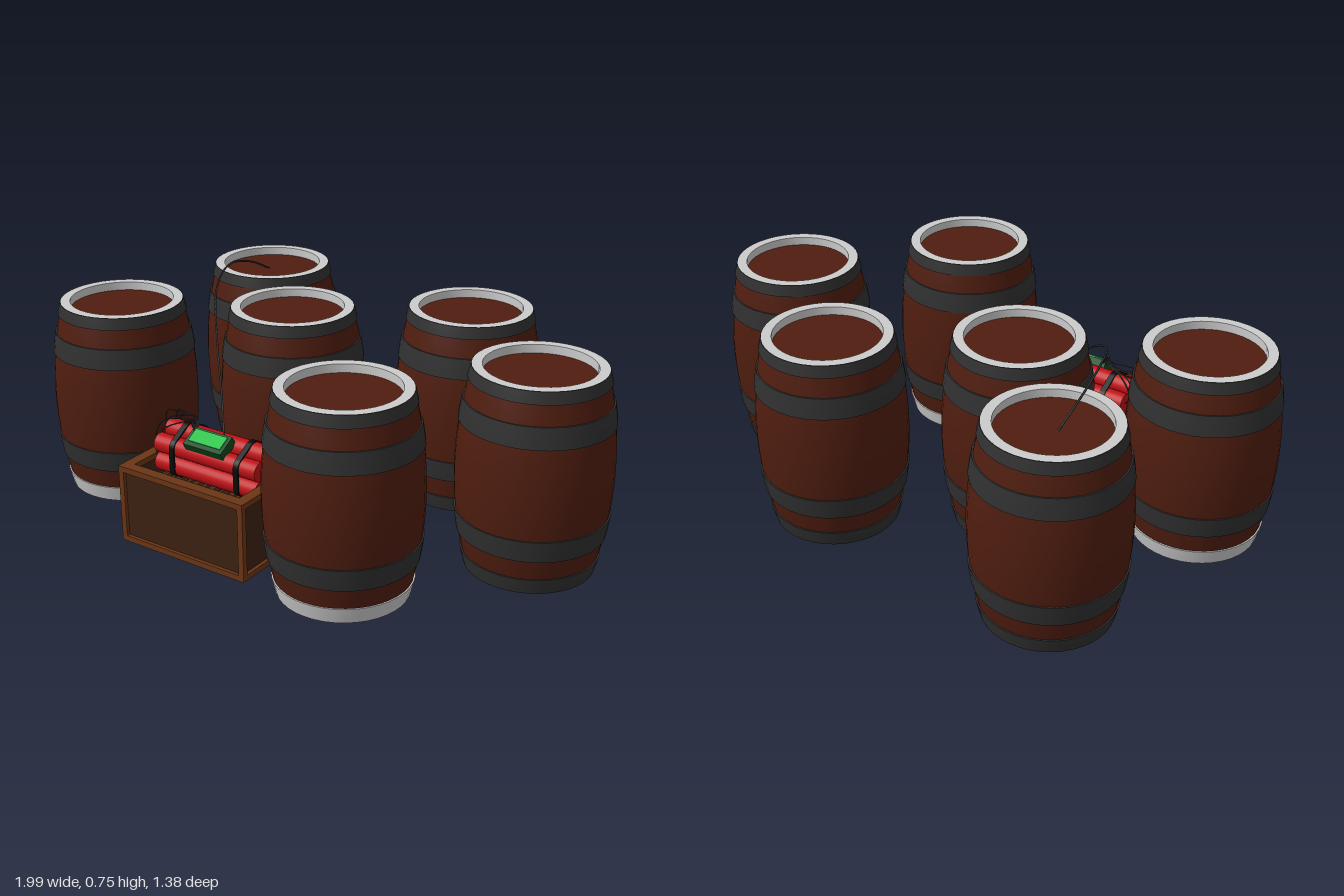
import * as THREE from 'three';
import { toCreasedNormals } from 'three/addons/utils/BufferGeometryUtils.js';

const mat = (color, extra = {}) => {
  const m = new THREE.MeshStandardMaterial({ color });
  return Object.assign(m, extra);
};
const M = {
  wood: mat(0x4f1d0f), iron: mat(0x303030), steel: mat(0xcccccc),
  frame: mat(0x6b3515), panel: mat(0x3d2212), straw: mat(0x55301a),
  red: mat(0xc01015), black: mat(0x0a0a0a), wire: mat(0x333333),
  green: mat(0x0c4a1c), screen: mat(0x10c040),
};

function add(parent, name, geometry, material, x = 0, y = 0, z = 0) {
  const mesh = new THREE.Mesh(geometry, material);
  mesh.name = name;
  mesh.position.set(x, y, z);
  parent.add(mesh);
  return mesh;
}
const box = (parent, name, w, h, d, m, x, y, z) =>
  add(parent, name, new THREE.BoxGeometry(w, h, d), m, x, y, z);

function lathe(points) {
  const g = new THREE.LatheGeometry(points.map(([r, y]) => new THREE.Vector2(r, y)), 40);
  return toCreasedNormals(g, 0.6);
}
function tube(parent, name, points, radius, segments = 24) {
  const curve = new THREE.CatmullRomCurve3(points.map(p => new THREE.Vector3(...p)));
  return add(parent, name, new THREE.TubeGeometry(curve, segments, radius, 6), M.wire);
}

// Barrel bulge: radius at a given height
const BOTTOM = 0.015, TOP = 0.694;
const bulge = y => 0.252 - 0.045 * ((y - 0.355) / 0.34) ** 2;
const side = (y0, y1, n, offset) =>
  Array.from({ length: n + 1 }, (_, i) => {
    const y = y0 + (y1 - y0) * i / n;
    return [bulge(y) + offset, y];
  });

function band(y0, y1) {
  const inner = -0.006;
  return lathe([[bulge(y0) + inner, y0], ...side(y0, y1, 4, 0.005), [bulge(y1) + inner, y1]]);
}

function barrelParts() {
  const inner = 0.178, lid = 0.028;
  const y0 = BOTTOM + lid, y1 = TOP - lid;
  return {
    staves: lathe([[0, y0], ...side(y0, y1, 16, 0), [0, y1]]),
    upperHoop: band(0.52, 0.59),
    lowerHoop: band(0.14, 0.214),
    topRim: band(0.655, TOP),
    bottomRim: band(BOTTOM, 0.07),
    // flat end ring and the lip running down to the recessed lid
    topRing: lathe([[bulge(TOP) + 0.003, TOP + 0.001], [inner, TOP + 0.001], [inner, y1 - 0.002]]),
    bottomRing: lathe([[inner, y0 + 0.002], [inner, BOTTOM - 0.001], [bulge(BOTTOM) + 0.003, BOTTOM - 0.001]]),
  };
}

function makeBarrel(parts, lightBase) {
  const g = new THREE.Group();
  g.name = 'barrel';
  add(g, 'staves', parts.staves, M.wood);
  for (const n of ['upperHoop', 'lowerHoop', 'topRim']) add(g, n, parts[n], M.iron);
  add(g, 'bottomRim', parts.bottomRim, lightBase ? M.steel : M.iron);
  add(g, 'topRing', parts.topRing, M.steel);
  add(g, 'bottomRing', parts.bottomRing, M.steel);
  return g;
}

function makeCrate() {
  const g = new THREE.Group();
  g.name = 'crate';
  const W = 0.51, H = 0.275, D = 0.38, t = 0.02, rim = 0.038;
  box(g, 'floor', W - 0.002, 0.016, D - 0.002, M.panel, 0, 0.009, 0);
  for (const s of [-1, 1]) {
    // inset wall panels
    box(g, 'longPanel', W - 2 * t, H - 0.02, 0.02, M.panel, 0, H / 2, s * (D / 2 - 0.022));
    box(g, 'endPanel', 0.02, H - 0.02, D - 2 * t, M.panel, s * (W / 2 - 0.022), H / 2, 0);
    // bottom and top rails
    for (const [y, w] of [[t / 2, t], [H - t / 2, rim]]) {
      box(g, 'longRail', W, t, w, M.frame, 0, y, s * (D / 2 - w / 2));
      box(g, 'endRail', w, t, D - 2 * w, M.frame, s * (W / 2 - w / 2), y, 0);
    }
    for (const k of [-1, 1])
      box(g, 'cornerPost', t, H - 2 * t, t, M.frame, s * (W / 2 - t / 2), H / 2, k * (D / 2 - t / 2));
  }
  // uneven packing strips under the bundle
  let seed = 7;
  const rand = () => (seed = (seed * 16807) % 2147483647) / 2147483647;
  box(g, 'packingBase', W - 0.07, 0.17, D - 0.07, M.panel, 0, 0.095, 0);
  for (let i = 0; i < 26; i++) {
    const h = 0.01 + 0.025 * rand();
    box(g, 'packingStrip', 0.007 + 0.008 * rand(), h, D - 0.08, M.straw,
      -0.21 + i * 0.0168, 0.18 + h / 2, 0);
  }
  g.position.set(-0.205, 0, 0.38);
  return g;
}

function makeBundle() {
  const g = new THREE.Group();
  g.name = 'stickBundle';
  const r = 0.033, cx = -0.195, cy = 0.287, cz = 0.365, length = 0.415;
  const left = cx - length / 2;
  const stick = new THREE.CylinderGeometry(r, r, length, 20).rotateZ(Math.PI / 2);
  const ring = Array.from({ length: 6 }, (_, i) => Math.PI / 2 + i * Math.PI / 3);
  const centres = [[0, 0], ...ring.map(a => [2 * r * Math.sin(a), 2 * r * Math.cos(a)])]
    .map(([y, z]) => [cy + y, cz + z]);
  centres.forEach(([y, z], i) => {
    add(g, 'stick', stick, M.red, cx, y, z);
    // short lead looping from the stick's end back to the timer
    const lift = 0.405 + 0.004 * (i % 4), spread = (i - 3) * 0.006;
    tube(g, 'lead', [
      [left, y, z], [left - 0.018, y + 0.015, z],
      [left - 0.015 + 0.004 * i, (y + lift) / 2 + 0.03, z * 0.8 + cz * 0.2],
      [left + 0.06 + 0.01 * i, lift, cz + spread],
      [left + 0.12, lift + 0.008, cz + 0.02 + spread], [-0.25, 0.375, 0.415],
    ], 0.002);
  });

  // straps follow the outline of the six outer sticks
  const outline = (radius, path) => {
    for (const a of ring)
      path.absarc(2 * r * Math.cos(a), 2 * r * Math.sin(a), radius, a - Math.PI / 6, a + Math.PI / 6);
    path.closePath();
    return path;
  };
  const shape = outline(r + 0.004, new THREE.Shape());
  shape.holes.push(outline(r - 0.002, new THREE.Path()));
  const strap = new THREE.ExtrudeGeometry(shape, { depth: 0.02, bevelEnabled: false, curveSegments: 6 });
  strap.translate(0, 0, -0.01).rotateY(Math.PI / 2);
  for (const x of [-0.325, -0.06]) add(g, 'strap', strap, M.black, x, cy, cz);

  // timer lying on the sloping front of the bundle
  const timer = new THREE.Group();
  timer.name = 'timer';
  box(timer, 'timerCase', 0.155, 0.035, 0.075, M.green, 0, 0, 0);
  box(timer, 'timerScreen', 0.13, 0.006, 0.05, M.screen, 0, 0.018, -0.004);
  timer.position.set(-0.192, 0.367, 0.423);
  timer.rotation.x = Math.PI / 6;
  g.add(timer);
  return g;
}

export function createModel() {
  const model = new THREE.Group();
  model.name = 'barrelsAndCrate';
  const parts = barrelParts();
  const spots = [
    [-0.57, -0.44], [-0.21, -0.07], [-0.745, 0.20, true],
    [0.30, -0.405], [0.74, -0.045], [0.337, 0.432, true],
  ];
  for (const [x, z, lightBase] of spots) {
    const barrel = makeBarrel(parts, lightBase);
    barrel.position.set(x, 0, z);
    model.add(barrel);
  }
  model.add(makeCrate(), makeBundle());
  // long fuse arching over to the back barrel
  tube(model, 'fuse', [
    [-0.14, 0.385, 0.41], [-0.25, 0.49, 0.28], [-0.35, 0.59, 0.17], [-0.5, 0.715, -0.02],
    [-0.567, 0.75, -0.18], [-0.59, 0.715, -0.34], [-0.585, 0.665, -0.44],
  ], 0.0035, 48);
  return model;
}
